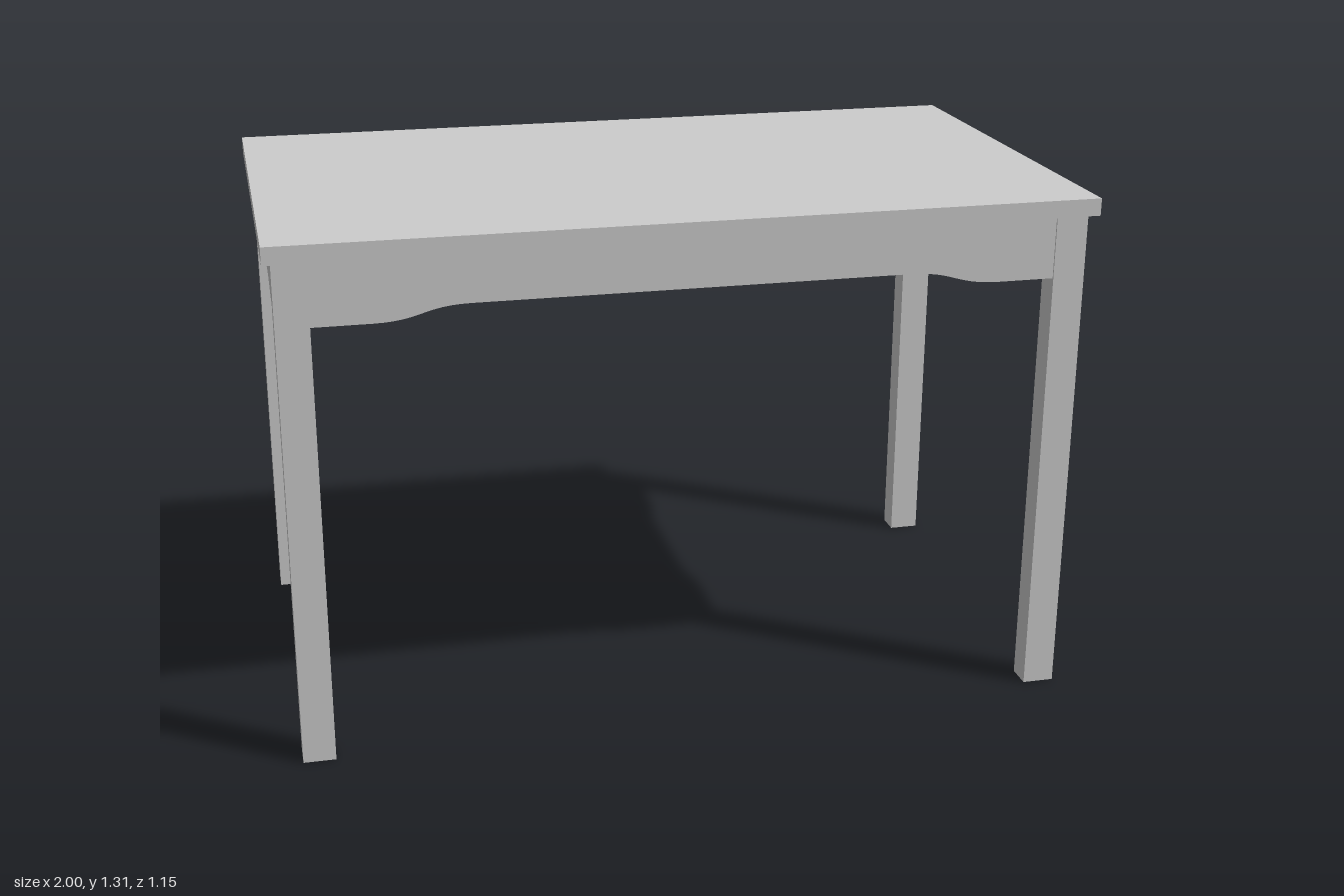
import * as THREE from 'three';

export function createModel() {
  const table = new THREE.Group();
  table.name = 'table';
  const grey = new THREE.MeshStandardMaterial({ color: 0xcccccc });
  grey.name = 'light grey';

  const TOP_UNDER = 1.267, TOP = 1.31;
  const LEG = { x: 0.94, z: 0.52, w: 0.08, d: 0.065 };
  const THICK = 0.022, INSET = 0.004;

  function add(geometry, name, x, y, z, turn = 0) {
    const mesh = new THREE.Mesh(geometry, grey);
    mesh.name = name;
    mesh.position.set(x, y, z);
    mesh.rotation.y = turn;
    table.add(mesh);
  }

  // Flat rectangular top
  add(new THREE.BoxGeometry(2, TOP - TOP_UNDER, 1.154), 'tableTop', 0, (TOP + TOP_UNDER) / 2, 0);

  // Four square straight legs
  const legGeometry = new THREE.BoxGeometry(LEG.w, TOP_UNDER, LEG.d);
  for (const sx of [-1, 1]) {
    for (const sz of [-1, 1]) {
      add(legGeometry, (sz > 0 ? 'front' : 'back') + (sx > 0 ? 'Left' : 'Right') + 'Leg',
        sx * LEG.x, TOP_UNDER / 2, sz * LEG.z);
    }
  }

  // Apron board: low ends sweep up in an S-curve to a raised middle
  function apronGeometry(half, curveOuter, curveInner) {
    const low = 1.108, high = 1.142, mid = (curveOuter + curveInner) / 2;
    const s = new THREE.Shape();
    s.moveTo(-half, TOP_UNDER);
    s.lineTo(-half, low);
    s.lineTo(-curveOuter, low);
    s.bezierCurveTo(-mid, low, -mid, high, -curveInner, high);
    s.lineTo(curveInner, high);
    s.bezierCurveTo(mid, high, mid, low, curveOuter, low);
    s.lineTo(half, low);
    s.lineTo(half, TOP_UNDER);
    s.closePath();
    return new THREE.ExtrudeGeometry(s, { depth: THICK, bevelEnabled: false, curveSegments: 12 })
      .translate(0, 0, -THICK);
  }

  // Long and short aprons, set just behind the outer leg faces
  const longApron = apronGeometry(LEG.x - LEG.w / 2, 0.76, 0.53);
  const shortApron = apronGeometry(LEG.z - LEG.d / 2, 0.35, 0.16);
  const zFace = LEG.z + LEG.d / 2 - INSET;
  const xFace = LEG.x + LEG.w / 2 - INSET;
  add(longApron, 'frontApron', 0, 0, zFace);
  add(longApron, 'backApron', 0, 0, -zFace, Math.PI);
  add(shortApron, 'leftApron', xFace, 0, 0, Math.PI / 2);
  add(shortApron, 'rightApron', -xFace, 0, 0, -Math.PI / 2);

  return table;
}
